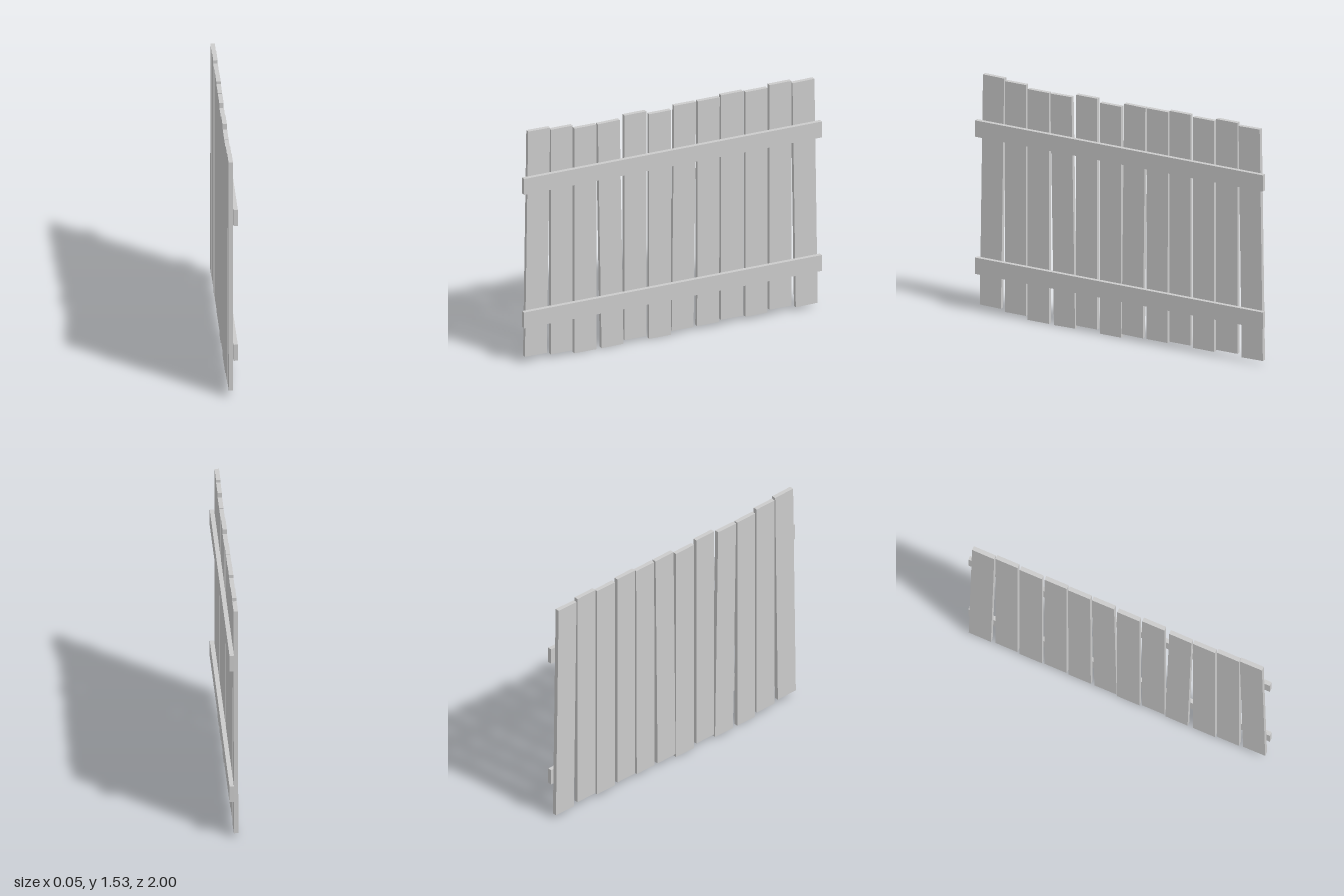
import * as THREE from 'three';

export function createModel() {
  const group = new THREE.Group();
  group.name = 'woodenFence';
  const material = new THREE.MeshStandardMaterial({ color: 0xcccccc, flatShading: true });
  const thickness = 0.027, plankWidth = 0.147, plankHeight = 1.487;

  // Upright planks: [z at top, z at bottom, height of the bottom edge]
  const planks = [
    [0.886, 0.908, 0.042], [0.734, 0.734, 0.026], [0.575, 0.575, 0.003],
    [0.418, 0.393, 0.003], [0.239, 0.239, 0.026], [0.073, 0.073, 0.003],
    [-0.095, -0.078, 0.026], [-0.254, -0.249, 0.026], [-0.409, -0.409, 0.037],
    [-0.574, -0.574, 0.026], [-0.735, -0.735, 0.042], [-0.89, -0.912, 0.026],
  ];
  const plankGeometry = new THREE.BoxGeometry(thickness, plankHeight, plankWidth);
  planks.forEach(([zTop, zBottom, base], i) => {
    const plank = new THREE.Mesh(plankGeometry, material);
    plank.name = `plank${i + 1}`;
    plank.position.set(-thickness / 2, base + plankHeight / 2, (zTop + zBottom) / 2);
    // Slight lean of crooked planks
    plank.rotation.x = Math.atan2(zTop - zBottom, plankHeight);
    group.add(plank);
  });

  // Two horizontal rails along the full length
  const railGeometry = new THREE.BoxGeometry(thickness, 0.105, 2);
  [['lowerRail', 0.298], ['upperRail', 1.182]].forEach(([name, y]) => {
    const rail = new THREE.Mesh(railGeometry, material);
    rail.name = name;
    rail.position.set(thickness / 2, y, 0);
    group.add(rail);
  });

  return group;
}
